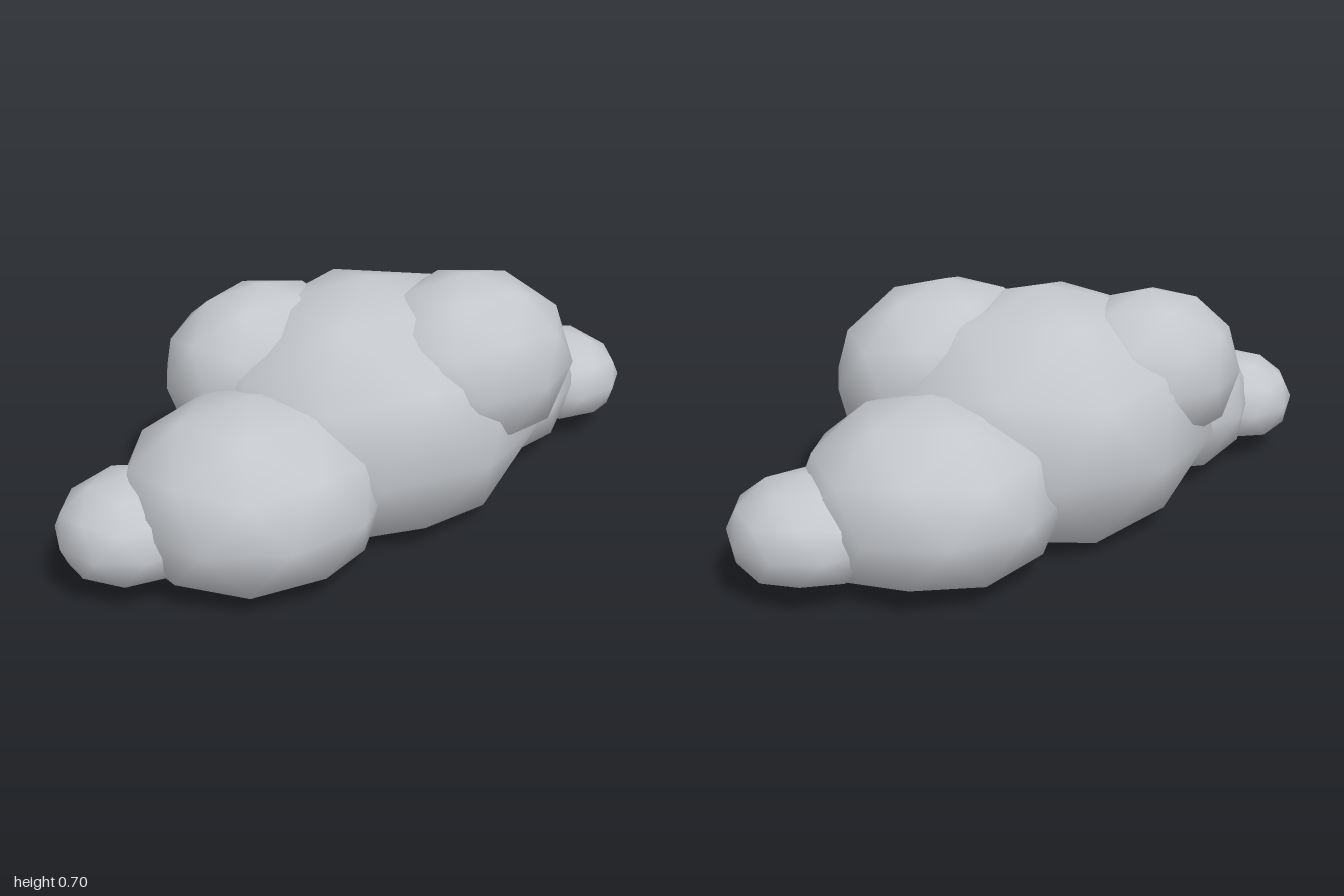
import * as THREE from 'three';
import { mergeVertices } from 'three/addons/utils/BufferGeometryUtils.js';

// Smooth low-poly puff: an icosphere with a pole on top and a nearly flat underside,
// whose rim is drawn in by taper
function puffGeometry(rx, ry, rz, yaw, taper) {
  let g = new THREE.IcosahedronGeometry(1, 1);
  g.deleteAttribute('normal');
  g.deleteAttribute('uv');
  g = mergeVertices(g, 1e-4);
  g.rotateZ(-Math.atan(2 / (1 + Math.sqrt(5))));
  g.rotateY(yaw);
  const p = g.attributes.position;
  const floor = -0.58;
  for (let i = 0; i < p.count; i++) {
    const y = p.getY(i);
    if (y < -0.4) {
      p.setXYZ(i, p.getX(i) * taper, y < floor ? floor + (y - floor) * 0.12 : y, p.getZ(i) * taper);
    }
  }
  g.scale(rx, ry, rz);
  g.computeVertexNormals();
  return g;
}

export function createModel() {
  const cloud = new THREE.Group();
  cloud.name = 'cloud';
  const grey = new THREE.MeshStandardMaterial({ color: 0xc4c7cc });
  grey.name = 'cloudGrey';

  // name, centre, radii, turn about y, underside taper
  const puffs = [
    ['corePuff', [0, 0.265, 0], [0.53, 0.42, 0.487], 0, 0.9],
    ['leftPuff', [0.47, 0.21, -0.07], [0.375, 0.275, 0.36], 0.1, 1],
    ['rightPuff', [-0.49, 0.21, 0.07], [0.375, 0.275, 0.36], 0.25, 1],
    ['leftEndPuff', [0.79, 0.165, 0.05], [0.212, 0.155, 0.22], 0.2, 1],
    ['rightEndPuff', [-0.79, 0.165, -0.06], [0.212, 0.155, 0.205], 0.2, 1],
    ['frontTopPuff', [0.19, 0.43, 0.2], [0.345, 0.27, 0.29], 0.1, 1],
    ['backTopPuff', [-0.23, 0.42, -0.195], [0.31, 0.25, 0.25], 0.1, 1],
  ];
  for (const [name, centre, radii, yaw, taper] of puffs) {
    const mesh = new THREE.Mesh(puffGeometry(...radii, yaw, taper), grey);
    mesh.name = name;
    mesh.position.set(...centre);
    cloud.add(mesh);
  }
  return cloud;
}
